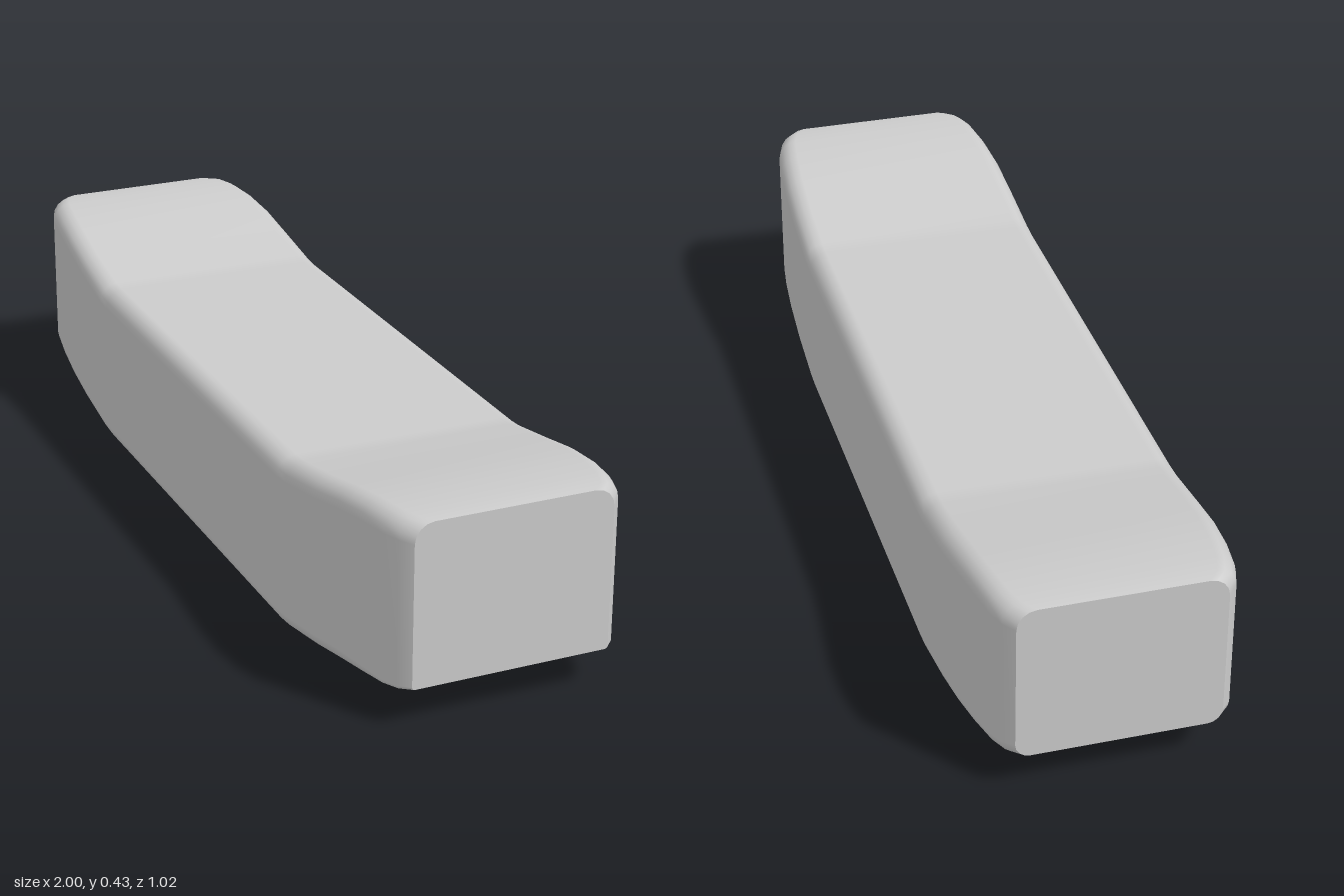
import * as THREE from 'three';

// Stations from the middle to one end: [along, half width, bottom, top]
const HALF = [
  [0.49, 0.262, 0, 0.36],
  [0.53, 0.262, 0.004, 0.363],
  [0.66, 0.26, 0.026, 0.387],
  [0.76, 0.256, 0.045, 0.408],
  [0.85, 0.248, 0.062, 0.421],
  [0.92, 0.238, 0.075, 0.425],
  [0.96, 0.225, 0.082, 0.425],
  [0.984, 0.204, 0.086, 0.422],
];

// Rounded rectangle, walked round from +z towards +y
function ring([u, w, bottom, top], bottomRadius) {
  const points = [];
  const steps = 4;
  for (let c = 0; c < 4; c++) {
    const r = c < 2 ? 0.04 : bottomRadius;
    const sz = c === 0 || c === 3 ? 1 : -1;
    const cy = c < 2 ? top - r : bottom + r;
    for (let s = 0; s <= steps; s++) {
      const a = (c + s / steps) * Math.PI / 2;
      points.push(new THREE.Vector3(u, cy + r * Math.sin(a), sz * (w - r) + r * Math.cos(a)));
    }
  }
  return points;
}

function geometryFrom(points, index) {
  const g = new THREE.BufferGeometry().setFromPoints(points);
  g.setIndex(index);
  g.computeVertexNormals();
  return g;
}

function loft(rings) {
  const n = rings[0].length;
  const index = [];
  for (let i = 0; i < rings.length - 1; i++) {
    for (let j = 0; j < n; j++) {
      const k = (j + 1) % n;
      const a = i * n + j, b = (i + 1) * n + j, c = (i + 1) * n + k, d = i * n + k;
      index.push(a, b, d, b, c, d);
    }
  }
  return geometryFrom(rings.flat(), index);
}

function cap(points, flip) {
  const index = [];
  for (let j = 1; j < points.length - 1; j++) {
    index.push(0, ...(flip ? [j + 1, j] : [j, j + 1]));
  }
  return geometryFrom(points, index);
}

export function createModel() {
  const group = new THREE.Group();
  const material = new THREE.MeshStandardMaterial({ color: 0xcccccc, roughness: 0.8 });
  const add = (name, geometry) => {
    const mesh = new THREE.Mesh(geometry, material);
    mesh.name = name;
    group.add(mesh);
  };

  // Mirrored stations; the lower edges sharpen towards the left end
  const mirrored = HALF.map(([u, ...rest]) => [-u, ...rest]).reverse();
  const rings = [...mirrored, ...HALF].map((s) => {
    const sharpen = THREE.MathUtils.smoothstep(s[0], 0.76, 0.98);
    return ring(s, THREE.MathUtils.lerp(0.03, 0.006, sharpen));
  });

  add('bentBar', loft(rings));
  add('rightEnd', cap(rings[0], false));
  add('leftEnd', cap(rings[rings.length - 1], true));

  // The bar lies at a slant across the ground
  group.rotation.y = -THREE.MathUtils.degToRad(18);
  const model = new THREE.Group();
  model.name = 'slantedBar';
  model.add(group);
  return model;
}
